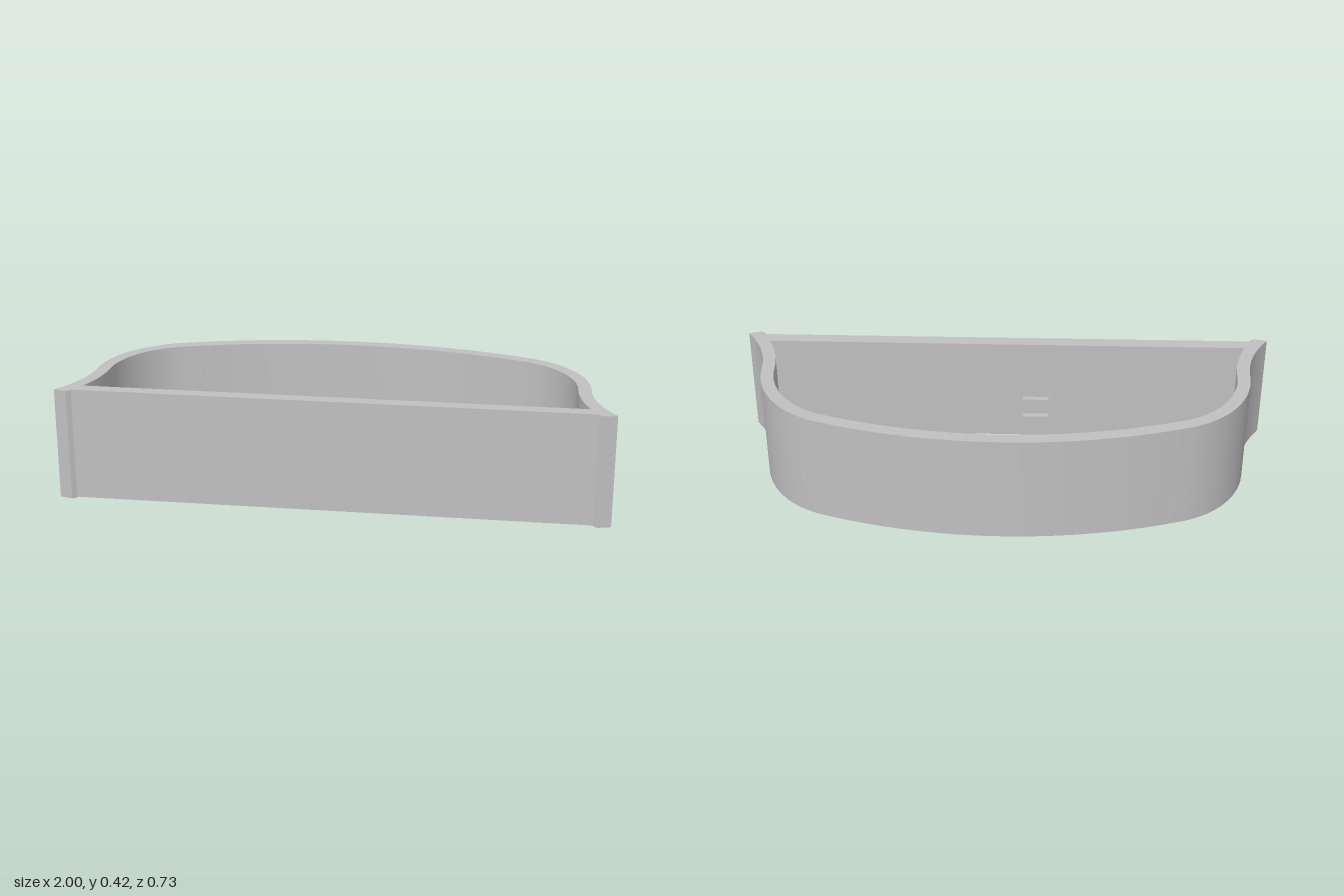
import * as THREE from 'three';
import { toCreasedNormals } from 'three/addons/utils/BufferGeometryUtils.js';

const HEIGHT = 0.417;
const grey = new THREE.MeshStandardMaterial({ color: 0xc0c0c0 });
grey.name = 'plain grey';

// Points along an arc in the ground plan (x, z), angles in radians
function arc(cx, cz, r, from, to, steps) {
  return Array.from({ length: steps + 1 }, (_, i) => {
    const a = from + ((to - from) * i) / steps;
    return new THREE.Vector2(cx + r * Math.cos(a), cz + r * Math.sin(a));
  });
}

// Half of the curved wall, from the middle of the back to the flared foot
function halfWall(inset, endZ) {
  const bend = Math.asin(0.322); // where the shallow back meets the round corner
  const flare = 0.419 + inset;
  return [
    ...arc(0, 1.7, 2.065 - inset, -Math.PI / 2, -Math.PI / 2 + bend, 16),
    ...arc(0.547, 0.09, 0.365 - inset, -Math.PI / 2 + bend, 0, 16).slice(1),
    ...arc(1.331, 0.09, flare, Math.PI, Math.PI - Math.asin((endZ - 0.09) / flare), 10).slice(1),
  ];
}

// Close a half outline with its mirror image
function mirrored(half) {
  const other = half.slice(1).reverse().map((p) => new THREE.Vector2(-p.x, p.y));
  return [...half, ...other];
}

export function createModel() {
  const model = new THREE.Group();
  model.name = 'curvedBin';

  // Open shell: curved back and sides, flat front, small lips at the front corners
  const outer = halfWall(0, 0.347);
  outer.push(
    new THREE.Vector2(0.953, 0.36),
    new THREE.Vector2(0.937, 0.35),
    new THREE.Vector2(0.945, 0.342),
  );
  const plan = new THREE.Shape(mirrored(outer));
  plan.holes.push(new THREE.Path(mirrored(halfWall(0.048, 0.292))));
  let geometry = new THREE.ExtrudeGeometry(plan, { depth: HEIGHT, bevelEnabled: false });
  geometry.rotateX(Math.PI / 2).translate(0, HEIGHT, 0);
  geometry = toCreasedNormals(geometry, 0.4);
  const shell = new THREE.Mesh(geometry, grey);
  shell.name = 'shell';
  model.add(shell);

  // Two small blocks on the inside of the front wall
  const blockGeometry = new THREE.BoxGeometry(0.1, 0.055, 0.024);
  [['lowerBlock', 0.073], ['upperBlock', 0.152]].forEach(([name, y]) => {
    const block = new THREE.Mesh(blockGeometry, grey);
    block.name = name;
    block.position.set(-0.115, y, 0.283);
    model.add(block);
  });

  return model;
}
